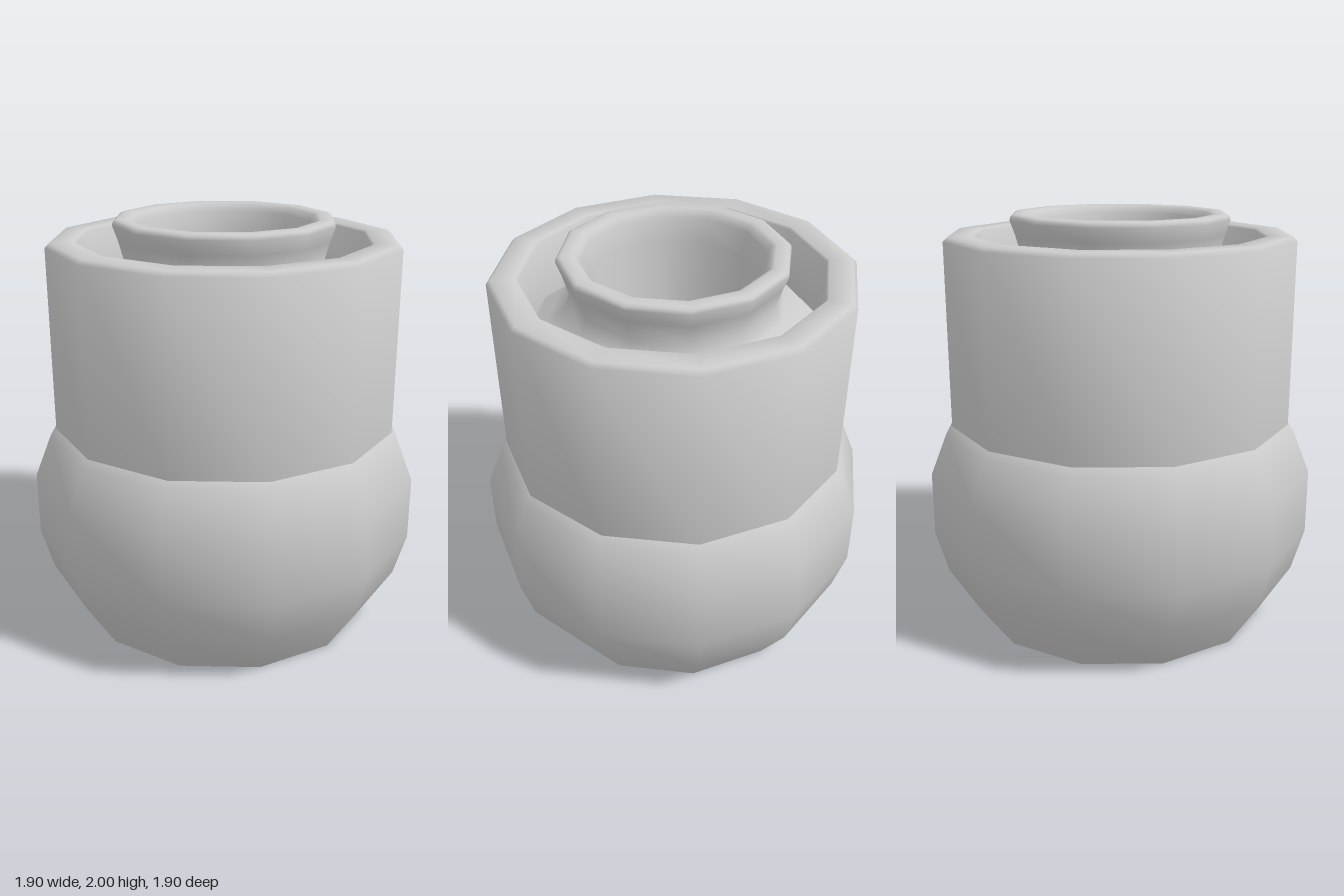
import * as THREE from 'three';
import { toCreasedNormals } from 'three/addons/utils/BufferGeometryUtils.js';

const SIDES = 12;
const material = new THREE.MeshStandardMaterial({ color: 0xcccccc, side: THREE.DoubleSide });

// Twelve-sided turned part from [radius, height] pairs, outside going up
function turned(name, profile) {
  const points = profile.map(([r, y]) => new THREE.Vector2(r, y));
  const geometry = toCreasedNormals(new THREE.LatheGeometry(points, SIDES), 0.9);
  const mesh = new THREE.Mesh(geometry, material);
  mesh.name = name;
  return mesh;
}

export function createModel() {
  const group = new THREE.Group();
  group.name = 'jar';

  // Rounded lower body with a flat base
  group.add(turned('body', [
    [0, 0], [0.735, 0], [0.89, 0.25], [0.95, 0.46],
    [0.95, 0.77], [0.87, 0.97], [0.835, 1.01],
  ]));

  // Upright collar with bevelled rim and open middle
  group.add(turned('collar', [
    [0.84, 0.99], [0.84, 1.885], [0.82, 1.905],
    [0.71, 1.905], [0.70, 1.895], [0.685, 1.6],
  ]));

  // Shoulder sunk inside the collar, flared neck, lip and hollow
  group.add(turned('neck', [
    [0.69, 1.61], [0.59, 1.675], [0.51, 1.74], [0.48, 1.81],
    [0.505, 1.905], [0.53, 1.975], [0.525, 1.992], [0.51, 2],
    [0.46, 2], [0.44, 1.99], [0.425, 1.96], [0.40, 1.85],
    [0.355, 1.2], [0, 1.2],
  ]));

  return group;
}
